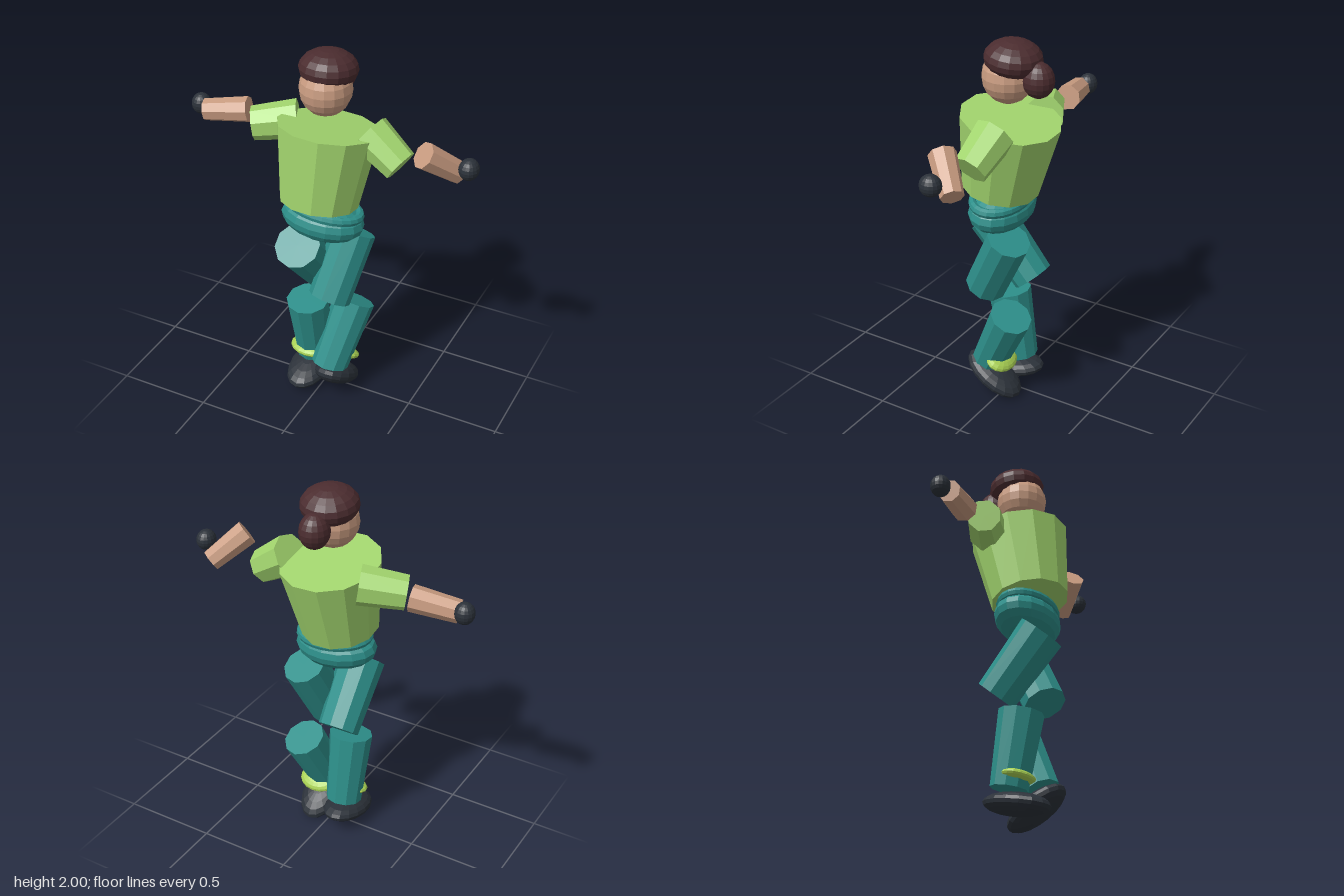
import * as THREE from 'three';

const mat = (name, color) => {
  const m = new THREE.MeshStandardMaterial({ color, flatShading: true });
  m.name = name;
  return m;
};

export function createModel() {
  const group = new THREE.Group();
  const shirt = mat('lime shirt', 0xa2d56e);
  const cuffs = mat('yellow lime cuffs', 0xa8d053);
  const trousers = mat('teal trousers', 0x2d8f8a);
  const skin = mat('skin', 0xc89b80);
  const hair = mat('dark brown hair', 0x4b2c2f);
  const dark = mat('charcoal', 0x2b3139);

  const add = (name, geometry, material) => {
    const mesh = new THREE.Mesh(geometry, material);
    mesh.name = name;
    group.add(mesh);
    return mesh;
  };

  // tapered prism running from point a to point b
  const limb = (name, material, a, b, ra, rb, sides, turn = 0) => {
    const from = new THREE.Vector3(...a), to = new THREE.Vector3(...b);
    const axis = to.clone().sub(from);
    const geometry = new THREE.CylinderGeometry(ra, rb, axis.length(), sides);
    geometry.rotateY(turn);
    const mesh = add(name, geometry, material);
    mesh.position.copy(from).add(to).multiplyScalar(0.5);
    mesh.quaternion.setFromUnitVectors(new THREE.Vector3(0, 1, 0), axis.normalize().negate());
  };

  // ellipsoid with radii r, tilted by rx and rz
  const blob = (name, material, p, r, rx = 0, rz = 0, w = 16, h = 10) => {
    const mesh = add(name, new THREE.SphereGeometry(1, w, h), material);
    mesh.position.set(...p);
    mesh.scale.set(...r);
    mesh.rotation.set(rx, 0, rz);
  };

  // head and hair
  blob('head', skin, [0, 1.81, 0.01], [0.133, 0.14, 0.133]);
  blob('hair', hair, [0, 1.905, -0.02], [0.148, 0.095, 0.148], -0.1);
  blob('hairBun', hair, [0, 1.82, -0.16], [0.077, 0.092, 0.083]);

  // torso, pelvis and waistband
  limb('torso', shirt, [0.005, 1.594, -0.008], [-0.012, 1.199, 0.065], 0.26, 0.203, 12, Math.PI / 12);
  blob('pelvis', trousers, [0, 1.09, 0.045], [0.225, 0.11, 0.155], -0.08, -0.06);
  const band = add('waistband', new THREE.TorusGeometry(0.19, 0.025, 8, 24).rotateX(Math.PI / 2), trousers);
  band.position.set(0.01, 1.155, 0.043);
  band.scale.set(1, 1, 0.69);
  band.rotation.set(-0.1, 0, -0.09);

  // left arm
  limb('leftSleeve', shirt, [0.21, 1.59, -0.045], [0.393, 1.465, -0.018], 0.108, 0.09, 8);
  limb('leftForearm', skin, [0.533, 1.592, 0.042], [0.664, 1.457, -0.1], 0.07, 0.058, 8);
  blob('leftHand', dark, [0.738, 1.53, -0.033], [0.051, 0.055, 0.056]);

  // right arm
  limb('rightSleeve', shirt, [-0.2, 1.55, -0.08], [-0.41, 1.52, 0.017], 0.103, 0.088, 8);
  limb('rightForearm', skin, [-0.474, 1.547, -0.06], [-0.705, 1.515, -0.008], 0.068, 0.058, 8);
  blob('rightHand', dark, [-0.743, 1.53, -0.035], [0.051, 0.057, 0.051]);

  // left leg
  limb('leftThigh', trousers, [0.125, 0.982, -0.07], [0.068, 0.642, 0.105], 0.115, 0.112, 10);
  limb('leftShin', trousers, [0.125, 0.53, -0.083], [0.06, 0.175, 0.09], 0.112, 0.098, 10);
  blob('leftCuff', cuffs, [0.085, 0.22, 0], [0.108, 0.036, 0.08], -0.5);
  blob('leftShoe', dark, [0.085, 0.108, 0.045], [0.11, 0.062, 0.178], -0.54);

  // right leg
  limb('rightThigh', trousers, [-0.083, 0.965, 0.17], [-0.09, 0.667, -0.088], 0.122, 0.108, 10);
  limb('rightShin', trousers, [-0.085, 0.553, 0.055], [-0.083, 0.167, -0.015], 0.116, 0.096, 10);
  blob('rightCuff', cuffs, [-0.08, 0.222, 0.035], [0.115, 0.032, 0.08], 0.15);
  blob('rightShoe', dark, [-0.085, 0.085, 0.028], [0.113, 0.057, 0.183], 0.17);

  return group;
}
